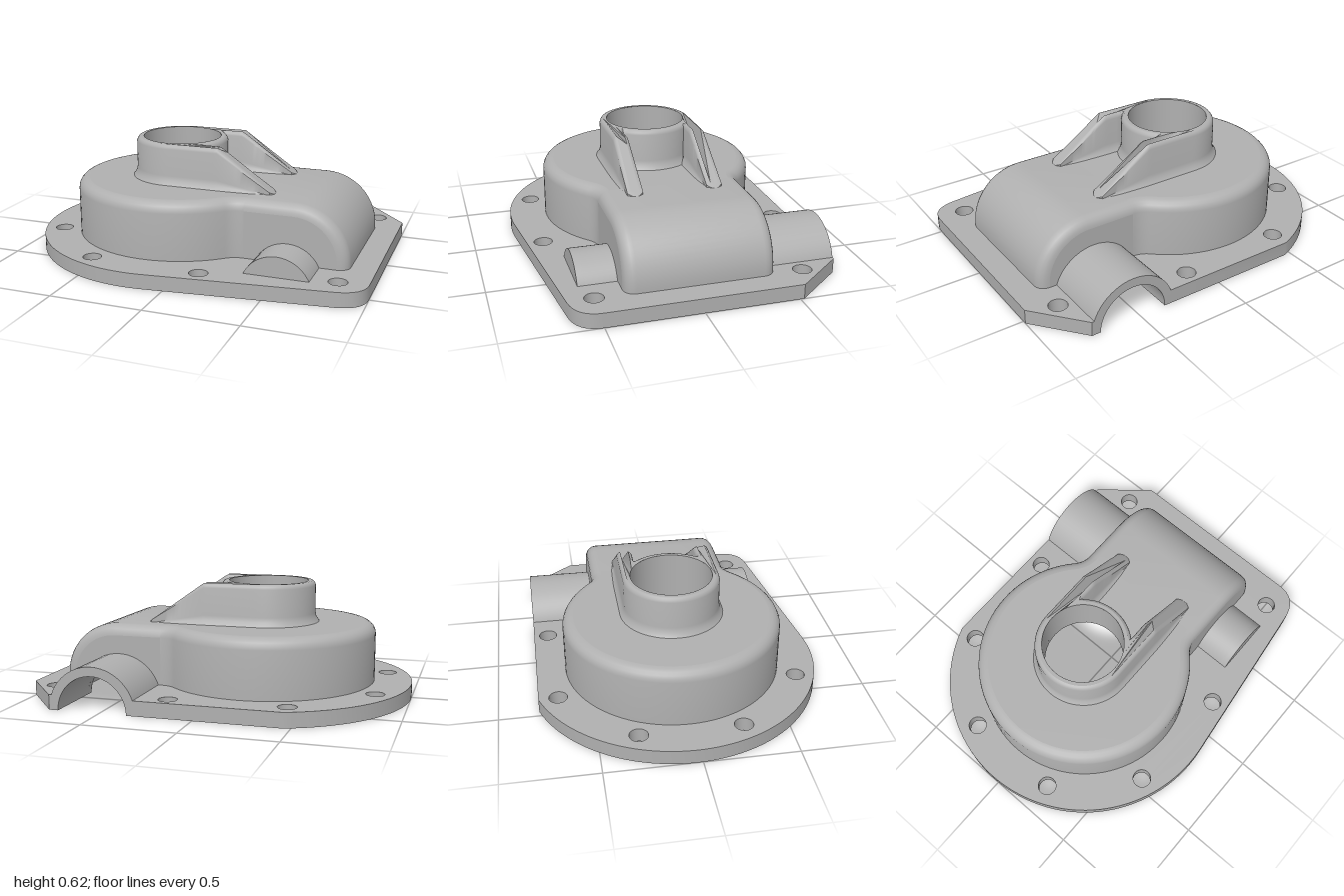
import * as THREE from 'three';
import { toCreasedNormals } from 'three/addons/utils/BufferGeometryUtils.js';

const WALL = 0.04, TOP = 0.4, ROUND = 0.06, FLANGE = 0.08;
const CX = -0.2, BORE = 0.22, SHAFT = 0.54; // bore centre, bore radius, shaft centre

const V2 = (x, y) => new THREE.Vector2(x, y);
const arc = (cx, cy, r, a0, a1, n) => Array.from({ length: n + 1 }, (_, i) => {
  const a = a0 + (a1 - a0) * i / n;
  return V2(cx + r * Math.cos(a), cy + r * Math.sin(a));
});
const line = (x0, y0, x1, y1, n) => Array.from({ length: n + 1 }, (_, i) =>
  V2(x0 + (x1 - x0) * i / n, y0 + (y1 - y0) * i / n));

// Skin a list of equally long rows of points
function skin(rows, flip = false) {
  const n = rows[0].length, index = [];
  for (let r = 0; r < rows.length - 1; r++) for (let i = 0; i < n - 1; i++) {
    const a = r * n + i, b = a + 1, c = a + n, d = c + 1;
    index.push(...(flip ? [a, b, c, b, d, c] : [a, c, b, b, c, d]));
  }
  const g = new THREE.BufferGeometry().setFromPoints(rows.flat());
  g.setIndex(index);
  return toCreasedNormals(g, 0.6);
}

// Quarter-round edge as [inset, drop] pairs
const edge = r => Array.from({ length: 6 }, (_, k) => {
  const a = k / 5 * Math.PI / 2;
  return [r * (1 - Math.cos(a)), r * (1 - Math.sin(a))];
});

// Plan of the round chamber with concave blends to the gearbox end, inset by off
function chamberPlan(off) {
  const t = Math.atan2(0.525, 0.5);
  const blend = arc(0.3, 0.525, 0.13 + off, -Math.PI / 2, t - Math.PI, 8);
  const round = arc(CX, 0, 0.595 - off, t, 2 * Math.PI - t, 64).slice(1, -1);
  return [...blend, ...round, ...blend.map(p => V2(p.x, -p.y)).reverse()];
}

// Side profile of the gearbox end, inset by off
const endProfile = (off, y0) => [
  V2(0.3, TOP - off), ...arc(0.565, 0.1, 0.3 - off, Math.PI / 2, 0, 14), V2(0.865 - off, y0)];

// Plan of the neck: ring on the left, two ribs reaching right
function neckPlan() {
  const zi = 0.175, R = 0.26, a = Math.asin(zi / R), xi = CX + R * Math.cos(a);
  const half = [
    ...line(xi, zi, 0.4, zi, 24).slice(1),
    ...arc(0.38, 0.2175, 0.0425, -Math.PI / 4, Math.PI / 4, 4),
    ...line(0.4, R, CX, R, 32),
  ];
  return [
    ...arc(CX, 0, R, 0, a, 8), ...half,
    ...arc(CX, 0, R, Math.PI / 2, 1.5 * Math.PI, 36).slice(1, -1),
    ...half.map(p => V2(p.x, -p.y)).reverse(),
    ...arc(CX, 0, R, -a, 0, 8),
  ];
}

// Move a closed plan along its outward normals
function offsetPlan(pts, d) {
  const n = pts.length - 1;
  return pts.map((p, i) => {
    const q = pts[(i + n - 1) % n], s = pts[(i + 1) % n];
    const t = V2(s.x - q.x, s.y - q.y).normalize();
    return V2(p.x + t.y * d, p.y - t.x * d);
  });
}

const circleHole = (x, y, r) => new THREE.Path().absarc(x, y, r, 0, Math.PI * 2, true);

// Flat cap in plan with the bore cut out
function cap(pts, y) {
  const s = new THREE.Shape(pts);
  s.holes.push(circleHole(CX, 0, BORE));
  return new THREE.ShapeGeometry(s, 32).rotateX(-Math.PI / 2).translate(0, y, 0);
}

export function createModel() {
  const model = new THREE.Group();
  model.name = 'housingCover';
  const body = new THREE.Group();
  body.name = 'casting';
  body.position.z = -0.03;
  model.add(body);
  const metal = new THREE.MeshStandardMaterial({ color: 0xb0b0b0, side: THREE.DoubleSide });
  metal.name = 'castGrey';
  const add = (name, geometry) => {
    const m = new THREE.Mesh(geometry, metal);
    m.name = name;
    body.add(m);
    return m;
  };

  // Mounting flange: outer edge, then through the shaft notch and round the opening
  const zb = -0.755, r = 0.8;
  const a0 = Math.atan2(zb, -Math.sqrt(r * r - zb * zb)) + 2 * Math.PI;
  const corner = new THREE.QuadraticBezierCurve(V2(0.86, 0.68), V2(1, 0.66), V2(1, 0.53));
  const outline = [
    V2(SHAFT - 0.19, zb), ...arc(CX, 0, r, a0, 1.44, 60), ...corner.getPoints(8),
    V2(1, -0.49), V2(0.78, zb), V2(SHAFT + 0.19, zb),
    V2(SHAFT + 0.19, -0.355), V2(0.785, -0.355), V2(0.825, -0.315),
    V2(0.825, 0.315), V2(0.785, 0.355), V2(0.69, 0.355), V2(0.69, 0.56),
    V2(0.39, 0.56), V2(0.39, 0.355), ...chamberPlan(WALL), V2(SHAFT - 0.19, -0.355),
  ];
  const flange = new THREE.Shape(outline.map(p => V2(p.x, -p.y)));
  for (const [x, z] of [[-0.84, 0.27], [-0.46, 0.65], [0.155, 0.675], [0.845, 0.545]])
    for (const s of [1, -1]) flange.holes.push(circleHole(x, s * z, 0.05));
  add('flange', toCreasedNormals(new THREE.ExtrudeGeometry(flange,
    { depth: FLANGE, bevelEnabled: false, curveSegments: 12 }).rotateX(-Math.PI / 2), 0.5));

  // Cover shell: outer skin and inner skin
  for (const [label, off, rad, y0] of [['outer', 0, ROUND, 0.07], ['inner', WALL, 0.04, FLANGE]]) {
    const inner = off > 0, top = TOP - off, e = edge(rad);

    // Round chamber wall and top
    const levels = [[0, y0], ...e.map(([i, d]) => [i, top - d])];
    add(label + 'ChamberWall', skin(levels.map(([i, y]) =>
      chamberPlan(off + i).map(p => new THREE.Vector3(p.x, y, p.y))), inner));
    add(label + 'ChamberTop', cap(chamberPlan(off + rad), top));

    // Gearbox end: curved back with rounded edges
    const hw = 0.395 - off;
    const stations = e.map(([i, d]) => [hw - d, i]).map(([, i], k) => [hw - e[k][1], i]);
    const side = stations.map(([, ], k) => [hw - e[k][0], e[k][1]]).reverse();
    const across = [...side.map(([z, i]) => [z, i]).reverse(), ...side.map(([z, i]) => [-z, i])]
      .sort((p, q) => q[0] - p[0]);
    const profiles = across.map(([, i]) => endProfile(off + i, y0));
    add(label + 'GearboxEnd', skin(profiles[0].map((_, j) =>
      across.map(([z], k) => new THREE.Vector3(profiles[k][j].x, profiles[k][j].y, z))), inner));

    // Gearbox sides with the shaft openings cut out
    for (const [s, open] of [[1, 0.15], [-1, 0.19]]) {
      const plate = new THREE.Shape([
        ...endProfile(off + rad, 0), ...arc(SHAFT, 0, open, 0, Math.PI, 20), V2(0.3, 0)]);
      add(label + 'GearboxSide', new THREE.ShapeGeometry(plate).translate(0, 0, s * hw));
    }
  }

  // Shaft housings: half tubes, the back one open and the front one closed
  const halfTube = (name, ro, ri, z0, z1) => {
    const pts = [...arc(SHAFT, 0, ro, 0, Math.PI, 28),
      ...(ri ? arc(SHAFT, 0, ri, Math.PI, 0, 28) : [])];
    add(name, toCreasedNormals(new THREE.ExtrudeGeometry(new THREE.Shape(pts),
      { depth: z1 - z0, bevelEnabled: false }).translate(0, 0, z0), 0.5));
  };
  halfTube('backShaftHousing', 0.24, 0.19, zb, -0.357);
  halfTube('frontShaftHousing', 0.19, 0.15, 0.357, 0.57);
  halfTube('frontShaftEnd', 0.19, 0, 0.56, 0.6);

  // Neck and ribs: height falls along the ribs
  const base = 0.39, high = 0.625;
  const fall = (x, y) => {
    const limit = high - Math.max(0, x - 0.1) * 0.7;
    return base + (y - base) * Math.max(0.03, (limit - base) / (high - base));
  };
  const plan = neckPlan();
  const neckRows = [[0.03, base], [0.018, 0.405], [0.006, 0.425], [0, 0.45], [0, 0.6],
    [-0.004, 0.612], [-0.011, 0.621], [-0.02, high]];
  add('neckWall', skin(neckRows.map(([d, y]) =>
    offsetPlan(plan, d).map(p => new THREE.Vector3(p.x, fall(p.x, y), p.y))), true)
  );
  const rim = cap(offsetPlan(plan, -0.02).slice(0, -1), 0);
  const pos = rim.attributes.position;
  for (let i = 0; i < pos.count; i++) pos.setY(i, fall(pos.getX(i), high));
  add('neckRim', toCreasedNormals(rim, 0.6));

  // Bore through the neck
  add('bore', new THREE.CylinderGeometry(BORE, BORE, high - TOP + WALL, 48, 1, true)
    .translate(CX, (high + TOP - WALL) / 2, 0));
  return model;
}
